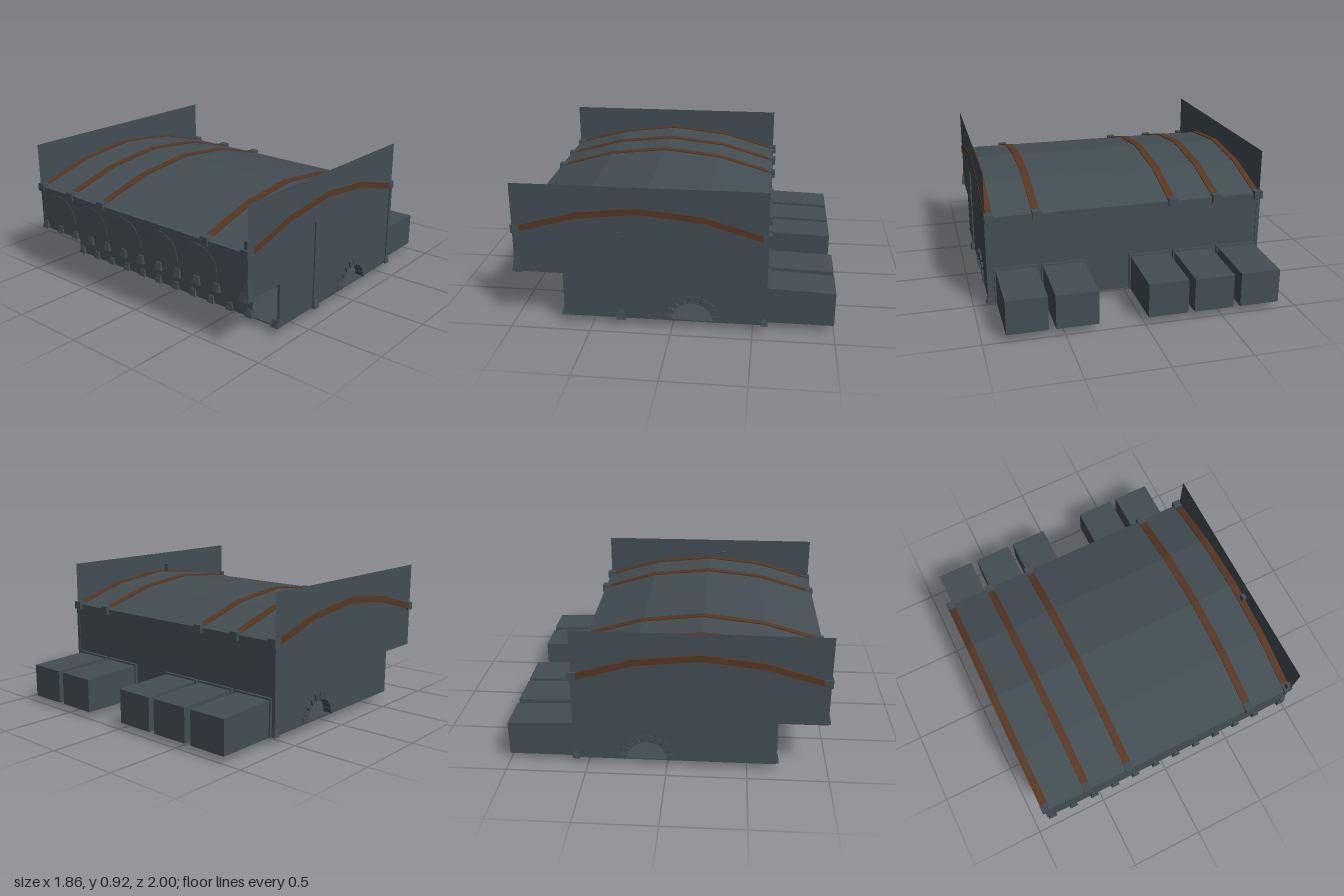
import * as THREE from 'three';

export function createModel() {
  const root = new THREE.Group();
  const slate = new THREE.MeshStandardMaterial({ color: 0x434e53, side: THREE.DoubleSide, flatShading: true });
  slate.name = 'slate stone';
  const rust = new THREE.MeshStandardMaterial({ color: 0x573722, side: THREE.DoubleSide, flatShading: true });
  rust.name = 'rust brown';

  const add = (name, geo, mat = slate) => {
    const m = new THREE.Mesh(geo, mat);
    m.name = name;
    root.add(m);
    return m;
  };
  // Box given by its limits on each axis
  const box = (name, x0, x1, y0, y1, z0, z1, mat) => {
    const m = add(name, new THREE.BoxGeometry(x1 - x0, y1 - y0, z1 - z0), mat);
    m.position.set((x0 + x1) / 2, (y0 + y1) / 2, (z0 + z1) / 2);
    return m;
  };
  // Four-sided tapering pillar foot
  const foot = (name, x, y, z, h, bottom, top) => {
    const g = new THREE.CylinderGeometry(top * Math.SQRT1_2, bottom * Math.SQRT1_2, h, 4);
    g.rotateY(Math.PI / 4);
    add(name, g).position.set(x, y + h / 2, z);
  };
  const FLOOR = 0.05, GALLERY = 0.34, EAVE = 0.63, HALF = 0.905;
  const BACK = -0.58, FRONT = 0.98, STEP = 0.68;

  // Vault and ribs: a bent band in the z-y plane, extruded along x
  const arc = [[BACK, EAVE], [-0.2, 0.74], [0.2, 0.782], [0.59, 0.74], [FRONT, EAVE]];
  const band = (name, x0, x1, lift, thick, mat) => {
    const pts = arc.map(([z, y]) => new THREE.Vector2(z, y + lift));
    const under = arc.map(([z, y]) => new THREE.Vector2(z, y + lift - thick)).reverse();
    const g = new THREE.ExtrudeGeometry(new THREE.Shape([...pts, ...under]), { depth: x1 - x0, bevelEnabled: false });
    g.rotateY(-Math.PI / 2).translate(x1, 0, 0);
    add(name, g, mat);
  };
  band('vaultRoof', -HALF, HALF, 0, 0.01);
  const ribs = [-0.893, -0.6, -0.3, 0.588, 0.883];
  for (const x of ribs) {
    band('roofRib', x - 0.025, x + 0.025, 0.007, 0.04, rust);
    for (const z of [BACK + 0.005, FRONT - 0.018]) {
      box('ribCorbel', x - 0.028, x + 0.028, 0.598, 0.65, z - 0.027, z + 0.027);
    }
  }

  // End walls with a notch under the gallery and an arched doorway
  const DOOR_Z = -0.125, DOOR_R = 0.15;
  const end = new THREE.Shape();
  end.moveTo(BACK, FLOOR);
  end.lineTo(DOOR_Z - DOOR_R, FLOOR);
  end.absarc(DOOR_Z, FLOOR, DOOR_R, Math.PI, 0, true);
  end.lineTo(STEP, FLOOR);
  end.lineTo(STEP, GALLERY);
  end.lineTo(FRONT, GALLERY);
  end.lineTo(FRONT, 0.92);
  end.lineTo(BACK, 0.92);
  for (const side of [-1, 1]) {
    const g = new THREE.ShapeGeometry(end, 12);
    g.rotateY(-Math.PI / 2);
    add('endWall', g).position.x = side * HALF;
    // Stones around the doorway
    for (let i = 0; i < 10; i++) {
      const a = (i + 0.5) * Math.PI / 10;
      const s = add('archStone', new THREE.BoxGeometry(0.06, 0.036, 0.046));
      s.position.set(side * 0.884, FLOOR + 0.152 * Math.sin(a), DOOR_Z + 0.152 * Math.cos(a));
      s.rotation.x = -a;
    }
    foot('backCornerFoot', side * 0.9, FLOOR, BACK + 0.01, 0.05, 0.045, 0.025);
    box('backCornerPost', side * 0.9 - 0.012, side * 0.9 + 0.012, FLOOR, EAVE, BACK - 0.004, BACK + 0.02);
  }

  // Long walls, floors
  box('backWall', -HALF, HALF, FLOOR, EAVE, BACK, BACK + 0.01);
  box('upperFrontWall', -HALF, HALF, GALLERY, EAVE, FRONT - 0.01, FRONT);
  box('lowerFrontWall', -HALF, 0.7, FLOOR, GALLERY, STEP - 0.01, STEP);
  box('lowerFrontWallEnd', 0.89, HALF, FLOOR, GALLERY, STEP - 0.01, STEP);
  box('hallFloor', -HALF, HALF, FLOOR, FLOOR + 0.008, BACK, STEP);
  box('galleryFloor', -HALF, HALF, GALLERY, GALLERY + 0.008, STEP - 0.02, FRONT);

  // Stair from gallery down into the hall
  const steps = 17, rise = (GALLERY - FLOOR) / steps, run = 0.025;
  for (let i = 0; i < steps; i++) {
    const y = GALLERY - i * rise, z = STEP - 0.012 - i * run;
    box('stairStep', 0.7, 0.89, y - rise, y, z - run * 1.2, z);
  }

  // Pillar feet and shallow arches along the front
  for (let i = 0; i < 12; i++) {
    const x = i === 11 ? 0.88 : -0.87 + i * 0.155;
    foot('galleryPillarFoot', x, GALLERY, FRONT - 0.01, 0.05, 0.056, 0.036);
    foot('hallPillarFoot', x, FLOOR, STEP - 0.01, 0.05, 0.056, 0.036);
    if (i < 10 && i % 2 === 0) {
      const arch = add('galleryArch', new THREE.TorusGeometry(0.155, 0.012, 4, 12, Math.PI));
      arch.position.set(x + 0.155, 0.44, FRONT - 0.01);
    }
  }

  // Posts by the left end wall
  box('tallPost', 0.88, 0.914, FLOOR, EAVE, 0.3, 0.335);
  box('tallPostTop', 0.876, 0.902, EAVE, 0.83, 0.3, 0.335);
  foot('tallPostFoot', 0.905, FLOOR, 0.318, 0.055, 0.055, 0.035);
  box('cornerPost', 0.872, 0.898, GALLERY, 0.7, 0.945, 0.975);
  foot('cornerPostFoot', 0.893, GALLERY, 0.965, 0.15, 0.055, 0.022);

  // Alcoves behind the back wall, tops sloping down to the rear
  for (const [x0, x1] of [[-0.88, -0.623], [-0.575, -0.318], [-0.277, -0.02], [0.292, 0.557], [0.602, 0.858]]) {
    const m = box('alcove', x0, x1, 0.046, 0.28, -1, BACK);
    const p = m.geometry.attributes.position;
    for (let i = 0; i < p.count; i++) if (p.getY(i) > 0 && p.getZ(i) < 0) p.setY(i, p.getY(i) - 0.014);
    m.geometry.computeVertexNormals();
    box('alcoveFrame', x0 - 0.01, x1 + 0.01, FLOOR, 0.29, BACK - 0.02, BACK);
  }

  // Rubble mounds sunk through the hall floor
  for (const [x, z, rx, ry, rz] of [[-0.08, 0.03, 0.27, 0.05, 0.15], [0.42, -0.2, 0.12, 0.026, 0.07], [0.14, -0.5, 0.04, 0.012, 0.025]]) {
    const g = new THREE.IcosahedronGeometry(1, 1);
    g.scale(rx, ry, rz);
    add('rubbleMound', g, rust).position.set(x, FLOOR, z);
  }
  return root;
}
